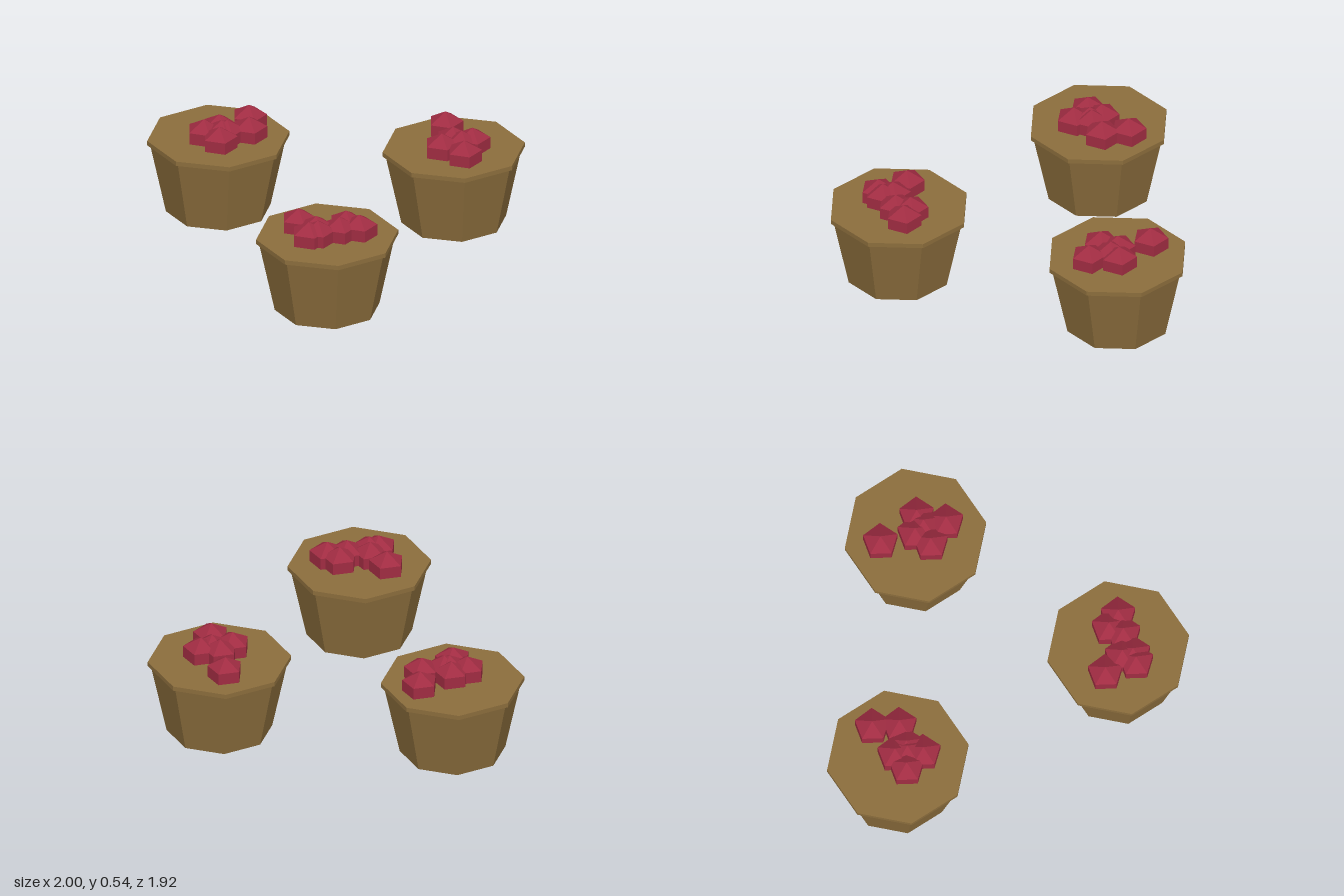
import * as THREE from 'three';

const wood = new THREE.MeshStandardMaterial({ color: 0x8b6d3c, flatShading: true });
const red = new THREE.MeshStandardMaterial({ color: 0xa02c42, flatShading: true });

// Each basket: centre (x, z) and fruit offsets from that centre
const baskets = [
  { name: 'backBasket', x: 0, z: -0.585, fruit: [
    [-0.08, -0.035], [0.015, -0.005], [0.2, 0.055], [0.085, 0.14],
    [-0.105, 0.085], [-0.03, 0.045], [-0.01, 0.065]] },
  { name: 'rightBasket', x: -0.62, z: 0.575, fruit: [
    [-0.03, -0.165], [-0.13, -0.025], [-0.05, -0.035], [-0.09, 0.005],
    [0.015, 0.07], [0.095, 0.055], [0.095, 0.14]] },
  { name: 'leftBasket', x: 0.62, z: 0.5, fruit: [
    [0.125, -0.145], [-0.1, -0.005], [0, -0.005], [0.05, 0.085],
    [-0.1, 0.14], [-0.01, 0.06]] },
];

export function createModel() {
  const model = new THREE.Group();
  model.name = 'fruitBaskets';

  // Shared shapes: tapered octagonal tub, lid rim, five-sided fruit
  const tubGeo = new THREE.CylinderGeometry(0.365, 0.28, 0.4, 8);
  const rimGeo = new THREE.CylinderGeometry(0.38, 0.38, 0.025, 8);
  const fruitGeo = new THREE.SphereGeometry(0.11, 5, 3, -Math.PI / 2);

  const add = (parent, name, geometry, material, x, y, z) => {
    const mesh = new THREE.Mesh(geometry, material);
    mesh.name = name;
    mesh.position.set(x, y, z);
    parent.add(mesh);
  };

  for (const { name, x, z, fruit } of baskets) {
    const basket = new THREE.Group();
    basket.name = name;
    basket.position.set(x, 0, z);
    add(basket, 'tub', tubGeo, wood, 0, 0.2, 0);
    add(basket, 'rim', rimGeo, wood, 0, 0.4075, 0);
    // Fruit half sunk into the flat top
    fruit.forEach(([fx, fz], i) => add(basket, `fruit${i + 1}`, fruitGeo, red, fx, 0.43, fz));
    model.add(basket);
  }
  return model;
}
